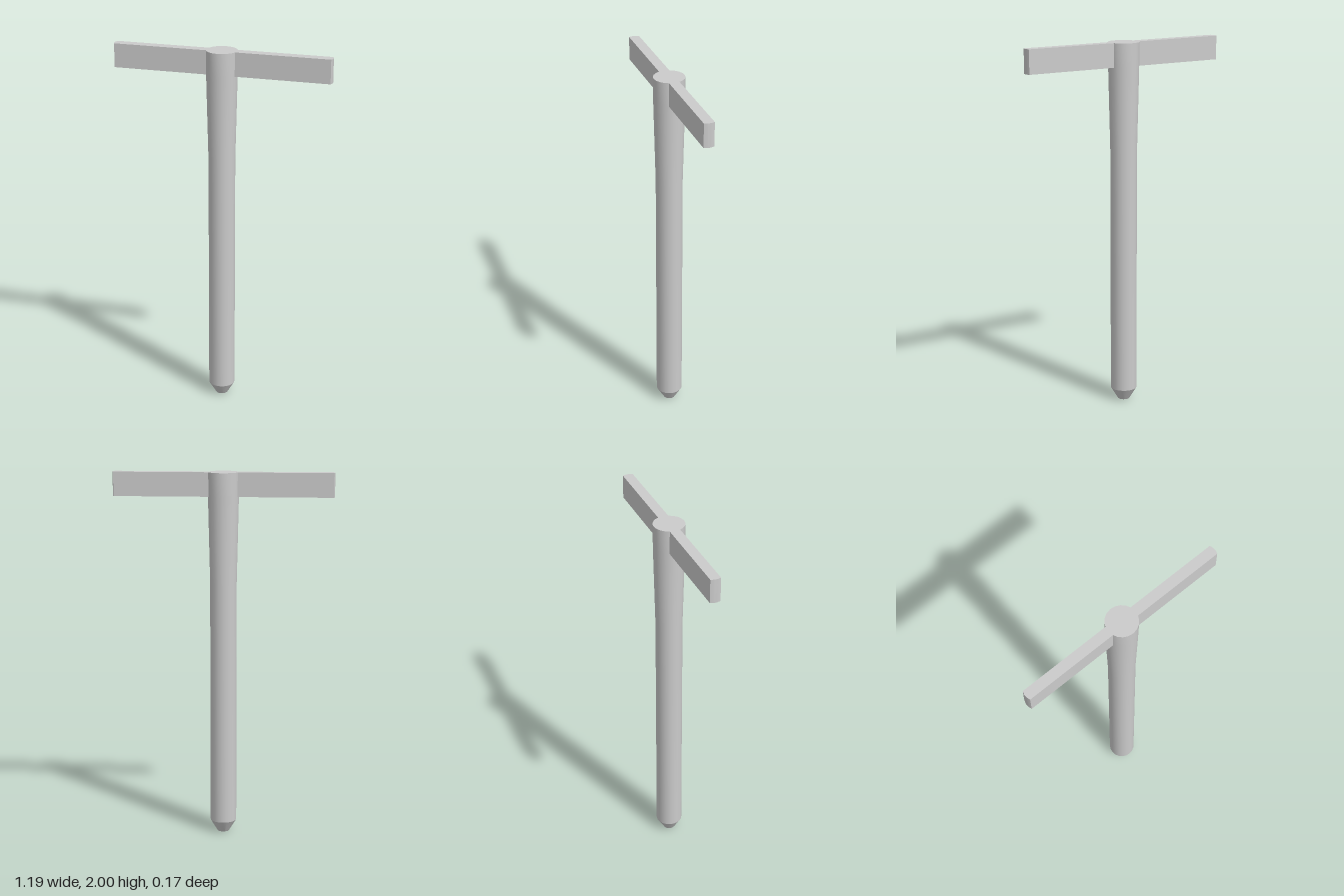
import * as THREE from 'three';
import { toCreasedNormals } from 'three/addons/utils/BufferGeometryUtils.js';

export function createModel() {
  const group = new THREE.Group();
  const material = new THREE.MeshStandardMaterial({ color: 0xcccccc });
  const add = (name, geometry, crease) => {
    const mesh = new THREE.Mesh(toCreasedNormals(geometry, crease), material);
    mesh.name = name;
    group.add(mesh);
    return mesh;
  };

  // Shaft: blunt conical tip, straight stem, slightly flared head
  const profile = [
    [0, 0], [0.032, 0], [0.072, 0.065], [0.072, 1.4],
    [0.083, 1.87], [0.084, 2], [0, 2],
  ].map(([r, y]) => new THREE.Vector2(r, y));
  add('shaft', new THREE.LatheGeometry(profile, 20), 0.45);

  // Crossbar arm: flat bar with a faintly rounded end, mirrored to both sides
  const inner = 0.07, outer = 0.588, bulge = 0.006, halfWidth = 0.028;
  const outline = new THREE.Shape([
    [inner, -halfWidth], [outer, -halfWidth],
    [outer + bulge, -halfWidth * 0.3], [outer + bulge, halfWidth * 0.3],
    [outer, halfWidth], [inner, halfWidth],
  ].map(([x, z]) => new THREE.Vector2(x, z)));
  for (const side of ['left', 'right']) {
    const arm = new THREE.ExtrudeGeometry(outline, { depth: 0.13, bevelEnabled: false });
    arm.rotateX(-Math.PI / 2).translate(0, 1.87, 0);
    if (side === 'right') arm.rotateY(Math.PI);
    add(side + 'Arm', arm, 0.5);
  }
  return group;
}
